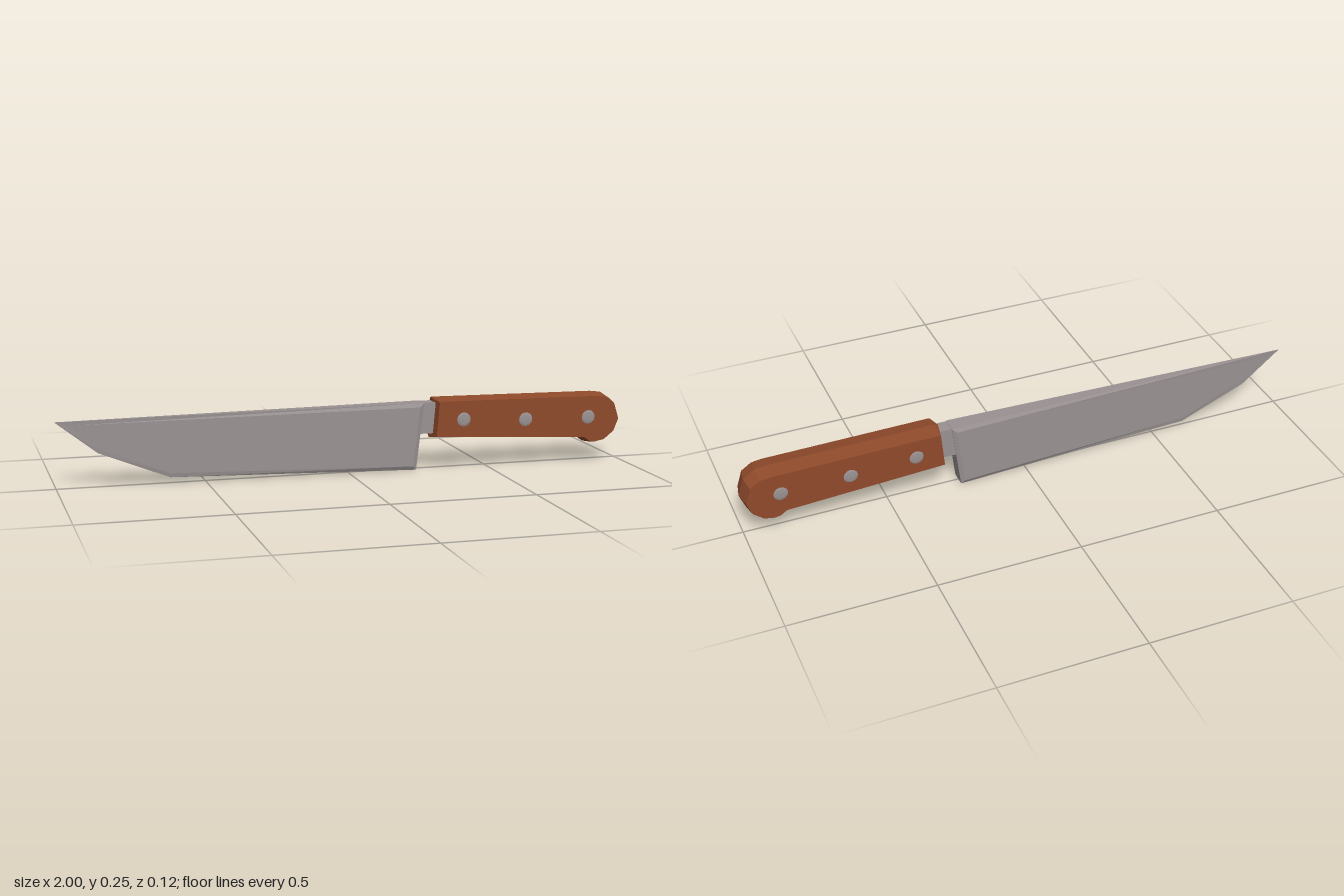
import * as THREE from 'three';

const steel = new THREE.MeshStandardMaterial({ color: 0x9a9292, flatShading: true });
const wood = new THREE.MeshStandardMaterial({ color: 0x8f4a2b, flatShading: true });

// Moves a counter-clockwise outline inwards by d, with mitred corners
function inset(outline, d) {
  const n = outline.length;
  return outline.map(([x, y], i) => {
    const [px, py] = outline[(i + n - 1) % n];
    const [qx, qy] = outline[(i + 1) % n];
    const u = new THREE.Vector2(x - px, y - py).normalize();
    const v = new THREE.Vector2(qx - x, qy - y).normalize();
    const k = d / (1 + u.dot(v));
    return [x - (u.y + v.y) * k, y + (u.x + v.x) * k];
  });
}

// Joins outlines stacked along z (back to front) and caps both ends
function stack(outline, layers) {
  const n = outline.length;
  const positions = [];
  const indices = [];
  for (const { d, z } of layers) {
    for (const [x, y] of inset(outline, d)) positions.push(x, y, z(x));
  }
  for (let k = 0; k < layers.length - 1; k++) {
    for (let i = 0; i < n; i++) {
      const a = k * n + i, b = k * n + (i + 1) % n;
      indices.push(a, b, b + n, a, b + n, a + n);
    }
  }
  const cap = inset(outline, layers[0].d).map(([x, y]) => new THREE.Vector2(x, y));
  const last = (layers.length - 1) * n;
  for (const [a, b, c] of THREE.ShapeUtils.triangulateShape(cap, [])) {
    indices.push(c, b, a, last + a, last + b, last + c);
  }
  const geometry = new THREE.BufferGeometry();
  geometry.setAttribute('position', new THREE.Float32BufferAttribute(positions, 3));
  geometry.setIndex(indices);
  geometry.computeVertexNormals();
  return geometry;
}

export function createModel() {
  const model = new THREE.Group();
  model.name = 'kitchenKnife';
  const add = (name, geometry, material) => {
    const mesh = new THREE.Mesh(geometry, material);
    mesh.name = name;
    model.add(mesh);
    return mesh;
  };

  // Blade: bevelled wedge, thick at the heel and thin at the tip
  const half = (x) => Math.max(0.001, 0.035 * (x + 1) / 1.25);
  const bladeOutline = [
    [-1, 0.225], [-0.86, 0.115], [-0.62, 0.02], [0.24, 0], [0.268, 0.235],
  ];
  add('blade', stack(bladeOutline, [
    { d: 0.014, z: (x) => -half(x) },
    { d: 0, z: (x) => -0.8 * half(x) },
    { d: 0, z: (x) => 0.8 * half(x) },
    { d: 0.014, z: half },
  ]), steel);

  // Neck between the blade and the handle
  add('neck', new THREE.BoxGeometry(0.08, 0.108, 0.052), steel).position.set(0.28, 0.18, 0);

  // Handle: ridge along the middle, flat cheeks on both sides
  const handleOutline = [
    [0.295, 0.108], [0.855, 0.079], [0.875, 0.065], [0.9, 0.06], [0.94, 0.068],
    [0.98, 0.1], [1, 0.15], [0.98, 0.213], [0.94, 0.24], [0.9, 0.245],
    [0.32, 0.251], [0.307, 0.246],
  ];
  add('handle', stack(handleOutline, [
    { d: 0.01, z: () => -0.055 },
    { d: 0, z: () => 0 },
    { d: 0.01, z: () => 0.055 },
  ]), wood);

  // Rivets, slightly domed on both cheeks
  const rivet = new THREE.LatheGeometry(
    [[0, -0.058], [0.018, -0.057], [0.025, -0.055], [0.025, 0.055], [0.018, 0.057], [0, 0.058]]
      .map(([r, y]) => new THREE.Vector2(r, y)), 12);
  rivet.rotateX(Math.PI / 2);
  [[0.405, 0.175], [0.635, 0.164], [0.873, 0.161]].forEach(([x, y], i) => {
    add('rivet' + (i + 1), rivet, steel).position.set(x, y, 0);
  });

  return model;
}
